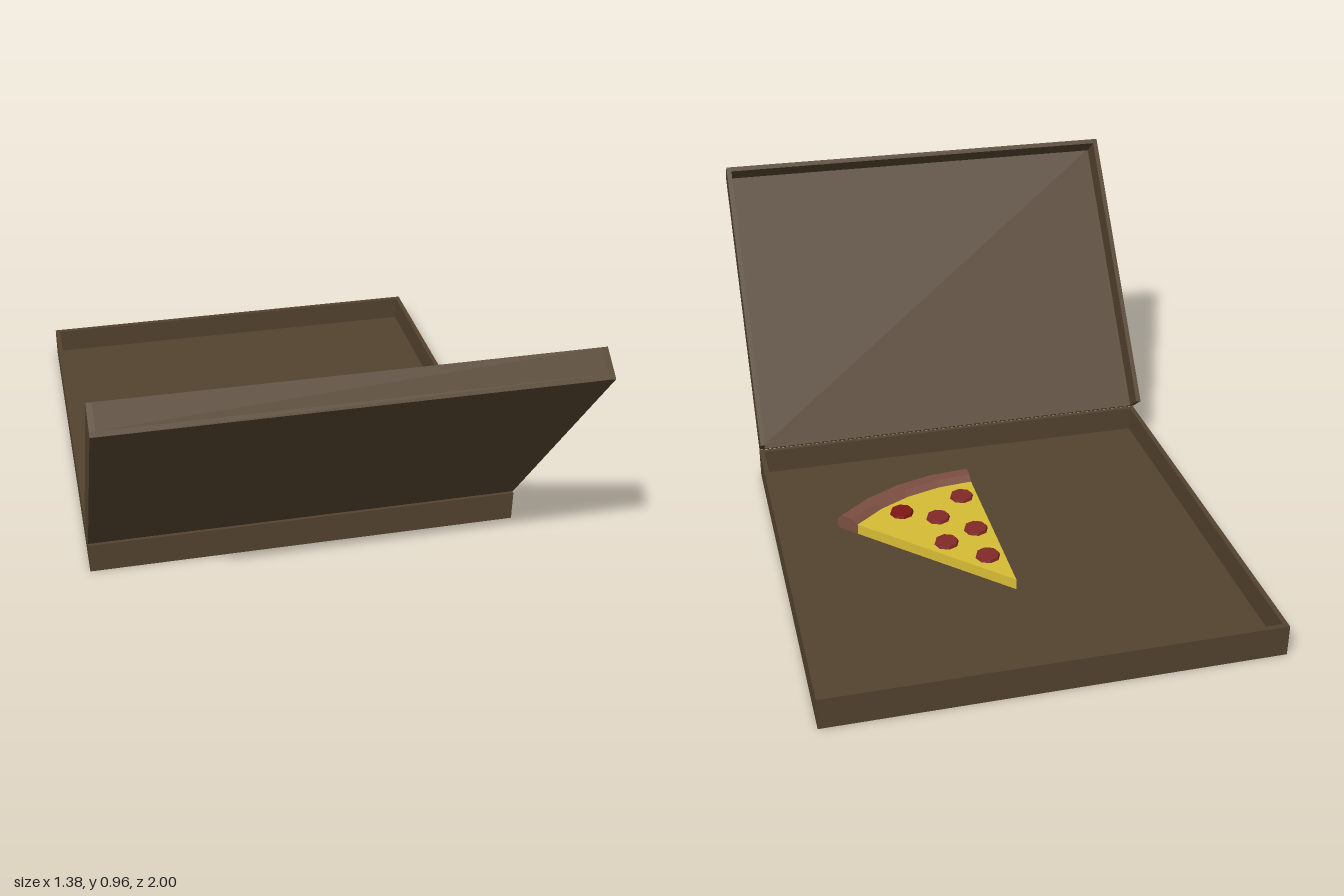
import * as THREE from 'three';

const mat = (color) => new THREE.MeshStandardMaterial({ color, flatShading: true, side: THREE.DoubleSide });
const cardboard = mat(0x54432f), cheese = mat(0xd6bc35), crust = mat(0x7a4e40), sausage = mat(0x822a26), darkSausage = mat(0x801614);

const WIDTH = 1.38, WALL = 0.016;

function add(parent, name, geometry, material, x = 0, y = 0, z = 0) {
  const mesh = new THREE.Mesh(geometry, material);
  mesh.name = name;
  mesh.position.set(x, y, z);
  parent.add(mesh);
  return mesh;
}

// Shallow tray running from z = 0 to z = depth, with an optional wall at z = 0
function tray(name, depth, height, nearWall) {
  const group = new THREE.Group();
  group.name = name;
  add(group, name + 'Panel', new THREE.BoxGeometry(WIDTH, WALL, depth), cardboard, 0, WALL / 2, depth / 2);
  const h = height - WALL, y = WALL + h / 2;
  for (const s of [-1, 1])
    add(group, name + 'SideWall', new THREE.BoxGeometry(WALL, h, depth), cardboard, s * (WIDTH - WALL) / 2, y, depth / 2);
  const ends = nearWall ? [WALL / 2, depth - WALL / 2] : [depth - WALL / 2];
  for (const z of ends)
    add(group, name + 'EndWall', new THREE.BoxGeometry(WIDTH - 2 * WALL, h, WALL), cardboard, 0, y, z);
  return group;
}

// Closed [radius, height] profile swept through an eighth turn, with both cut ends capped
function wedge(parent, name, profile, material) {
  const pts = profile.map(([r, y]) => new THREE.Vector2(r, y));
  add(parent, name, new THREE.LatheGeometry([...pts, pts[0]], 4, 0, Math.PI / 4), material);
  for (const turn of [0, Math.PI / 4])
    add(parent, name + 'Cut', new THREE.ShapeGeometry(new THREE.Shape(pts)), material).rotation.y = turn - Math.PI / 2;
}

export function createModel() {
  const model = new THREE.Group();
  model.name = 'pizzaBox';

  // Base tray
  const base = tray('base', 1.385, 0.1, true);
  base.position.z = -1;
  model.add(base);

  // Open lid, leaning outward from the hinge
  const lid = tray('lid', 1.008, 0.093, false);
  lid.position.set(0, 0.104, 0.38);
  lid.rotation.x = -0.909;
  model.add(lid);

  // Slice with its tip toward the back
  const slice = new THREE.Group();
  slice.name = 'pizzaSlice';
  slice.position.set(0, WALL, -0.52);
  model.add(slice);
  wedge(slice, 'cheese', [[0, 0], [0.6, 0], [0.6, 0.036], [0, 0.036]], cheese);
  wedge(slice, 'crust', [[0.6, 0], [0.68, 0], [0.68, 0.036], [0.665, 0.05], [0.625, 0.05], [0.6, 0.036]], crust);

  // Sausage rounds
  const spots = [[0.055, 0.145], [0.165, 0.25], [0.055, 0.305], [0.16, 0.4], [0.055, 0.51], [0.27, 0.46]];
  spots.forEach(([x, z], i) =>
    add(slice, 'sausageRound', new THREE.CylinderGeometry(0.037, 0.04, 0.01, 8), i === 5 ? darkSausage : sausage, x, 0.041, z));

  return model;
}
